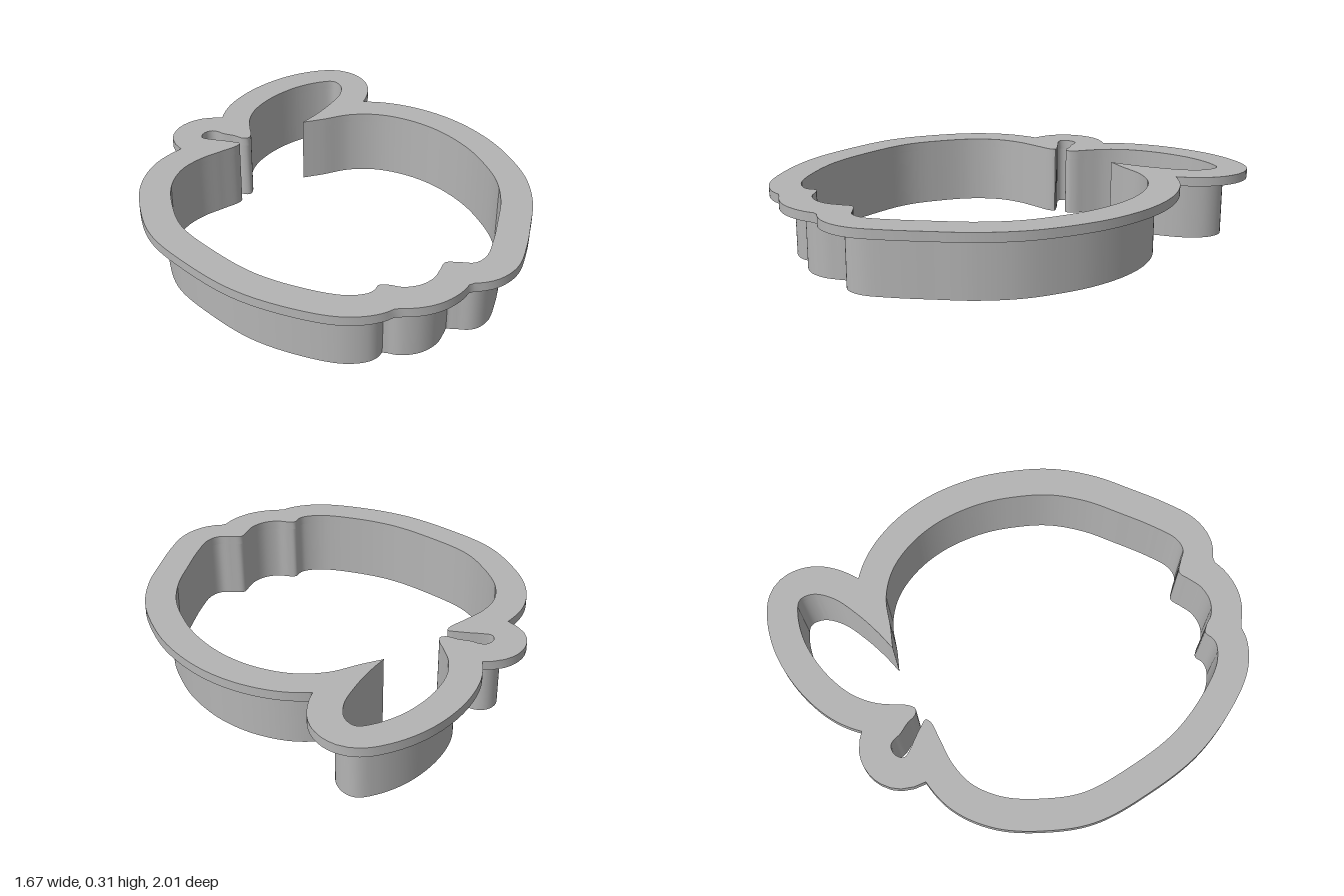
import * as THREE from 'three';
import { toCreasedNormals } from 'three/addons/utils/BufferGeometryUtils.js';

// Inner outline (x, z) of the apple with leaf and stem, starting at the sharp leaf joint
const OUTLINE = [
  // right cheek
  [0.153, -0.518], [0.25, -0.5], [0.39, -0.48], [0.51, -0.415], [0.61, -0.295], [0.675, -0.14], [0.7, 0.05],
  [0.685, 0.21], [0.645, 0.365], [0.565, 0.51], [0.46, 0.635], [0.355, 0.75],
  // bottom bumps
  [0.265, 0.828], [0.205, 0.84], [0.155, 0.81], [0.105, 0.784], [0.06, 0.815], [0.01, 0.85], [-0.06, 0.864],
  [-0.125, 0.845], [-0.165, 0.808], [-0.198, 0.79], [-0.23, 0.81], [-0.265, 0.816], [-0.345, 0.785],
  // left cheek
  [-0.47, 0.66], [-0.58, 0.495], [-0.655, 0.285], [-0.7, 0.06], [-0.675, -0.105], [-0.615, -0.265],
  [-0.525, -0.37], [-0.42, -0.42], [-0.31, -0.44], [-0.22, -0.455], [-0.198, -0.473],
  // stem
  [-0.222, -0.5], [-0.26, -0.535], [-0.307, -0.575], [-0.328, -0.6], [-0.322, -0.624], [-0.296, -0.643],
  [-0.264, -0.644], [-0.243, -0.625], [-0.228, -0.595], [-0.19, -0.55], [-0.166, -0.51], [-0.14, -0.5],
  // leaf
  [-0.116, -0.525], [-0.095, -0.58], [-0.06, -0.66], [0.01, -0.745], [0.14, -0.825], [0.3, -0.871],
  [0.43, -0.868], [0.495, -0.842], [0.503, -0.78], [0.455, -0.7], [0.35, -0.62], [0.245, -0.56], [0.153, -0.518],
];

// Outward offset: points that fall too close to another stretch of the outline are dropped
function offset(points, normals, d) {
  const limit = (d * 0.985) ** 2;
  return points
    .map((p, i) => p.clone().addScaledVector(normals[i], d))
    .filter((q) => points.every((p) => p.distanceToSquared(q) >= limit));
}

// Ring between two outlines, extruded downwards from the height top
function ring(name, outer, inner, top, height, material) {
  const shape = new THREE.Shape(outer);
  shape.holes.push(new THREE.Path(inner));
  const extruded = new THREE.ExtrudeGeometry(shape, { depth: height, bevelEnabled: false });
  extruded.rotateX(Math.PI / 2).translate(0, top, 0);
  const mesh = new THREE.Mesh(toCreasedNormals(extruded, 0.6), material);
  mesh.name = name;
  return mesh;
}

export function createModel() {
  const group = new THREE.Group();
  group.name = 'appleCookieCutter';
  const grey = new THREE.MeshStandardMaterial({ color: 0xb4b4b4 });
  grey.name = 'light grey';

  const curve = new THREE.CatmullRomCurve3(OUTLINE.map(([x, z]) => new THREE.Vector3(x, z, 0)), false, 'centripetal');
  const inner = [], normals = [];
  const count = 600;
  for (let i = 0; i < count; i++) {
    const p = curve.getPointAt(i / count);
    const t = curve.getTangentAt(i / count);
    inner.push(new THREE.Vector2(p.x, p.y));
    normals.push(new THREE.Vector2(t.y, -t.x));
  }

  // Thin cutting wall and the wide grip rim on top of it
  group.add(ring('cuttingWall', offset(inner, normals, 0.03), inner, 0.265, 0.265, grey));
  group.add(ring('gripRim', offset(inner, normals, 0.134), inner, 0.305, 0.04, grey));
  return group;
}
